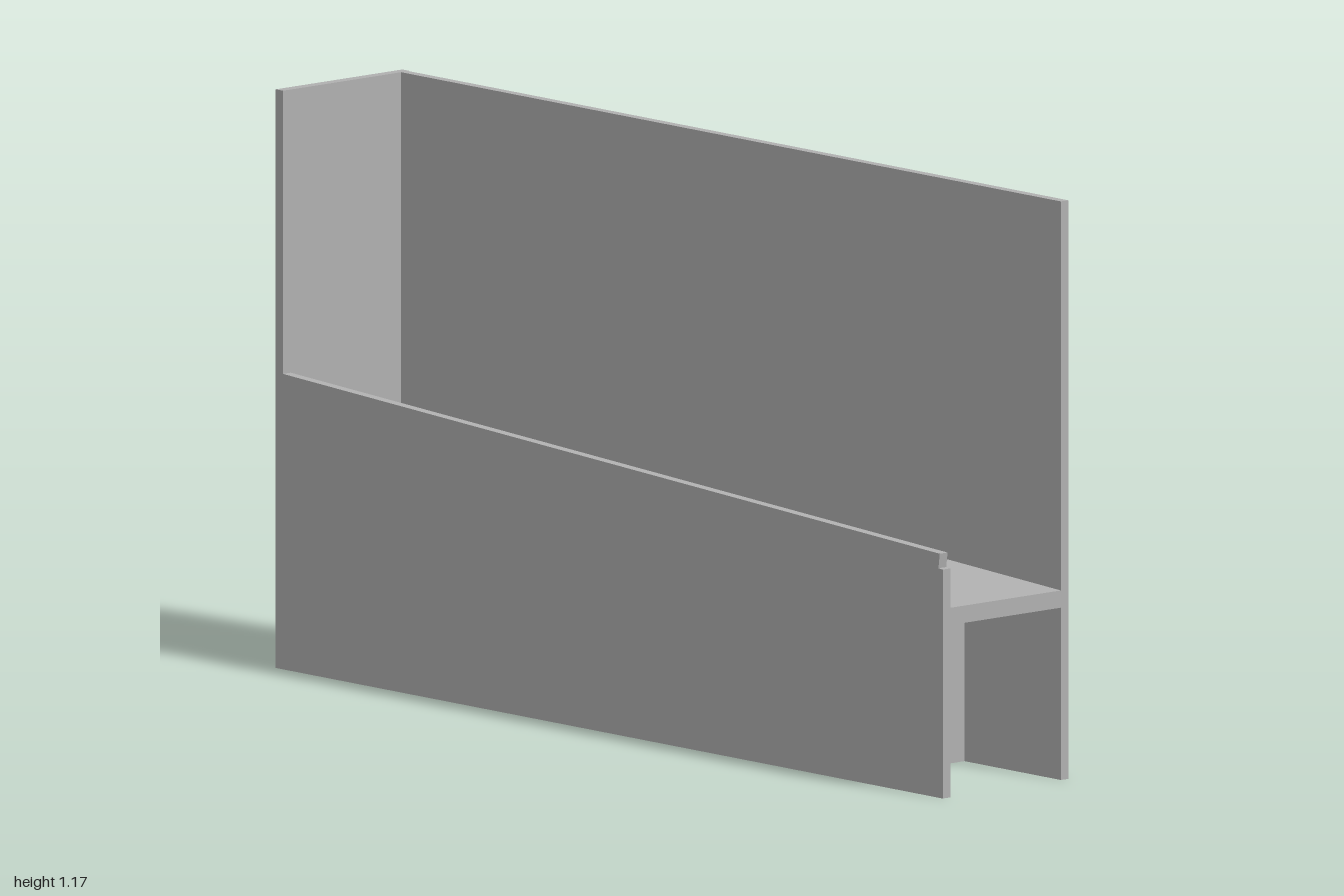
import * as THREE from 'three';

export function createModel() {
  const model = new THREE.Group();
  const gray = new THREE.MeshStandardMaterial({ color: 0xb0b0b0 });
  gray.name = 'plain gray';

  const add = (name, geometry) => {
    const mesh = new THREE.Mesh(geometry, gray);
    mesh.name = name;
    model.add(mesh);
  };
  // Box given by its lower and upper corners
  const box = (name, x0, x1, y0, y1, z0, z1) =>
    add(name, new THREE.BoxGeometry(x1 - x0, y1 - y0, z1 - z0)
      .translate((x0 + x1) / 2, (y0 + y1) / 2, (z0 + z1) / 2));
  // Plate cut from an x-y outline, between two depths
  const plate = (name, points, z0, z1) => {
    const shape = new THREE.Shape(points.map(([x, y]) => new THREE.Vector2(x, y)));
    add(name, new THREE.ExtrudeGeometry(shape, { depth: z1 - z0, bevelEnabled: false }).translate(0, 0, z0));
  };

  const H = 1.175, inner = -0.978;
  const back = -0.167, backInner = -0.147, frontInner = 0.149, front = 0.17;

  // End wall
  box('endWall', -1, inner, 0, H, -0.17, front);

  // Front panel with sloping top edge and a small step at the open end
  plate('frontPanel', [[inner, 0], [1, 0], [1, 0.465], [0.987, 0.466], [0.991, 0.496], [inner, 0.6]], frontInner, front);

  // Sloping floor of the channel
  const floorTop = (x) => 0.49 - 0.105 * (x - inner) / (1 - inner);
  const thick = 0.035;
  plate('slopingFloor', [
    [inner, floorTop(inner) - thick], [1, floorTop(1) - thick],
    [1, floorTop(1)], [inner, floorTop(inner)],
  ], backInner, frontInner);

  // Support ribs under the floor
  for (let i = 0; i < 7; i++) {
    const x = 0.7 - i * 0.269;
    box('supportRib', x - 0.011, x + 0.011, 0, floorTop(x) - thick / 2, backInner, frontInner);
  }

  // Back panel: plain below and above the band holding the two grooves
  const grooveLow = 0.042, grooveHigh = 0.496;
  box('backPanelLower', inner, 1, 0, grooveLow, back, backInner);
  box('backPanelUpper', inner, 1, grooveHigh, H, back, backInner);

  // Plan section with shallow round grooves, extruded upward (shape y is -z)
  const section = new THREE.Shape();
  section.moveTo(inner, -backInner);
  section.lineTo(1, -backInner);
  section.lineTo(1, -back);
  const half = 0.034, depth = 0.017;
  for (const cx of [0.782, -0.84]) {
    for (let i = 0; i <= 16; i++) {
      const a = Math.PI * i / 16;
      section.lineTo(cx + half * Math.cos(a), -back - depth * Math.sin(a));
    }
  }
  section.lineTo(inner, -back);
  section.closePath();
  add('backPanelGrooved', new THREE.ExtrudeGeometry(section, { depth: grooveHigh - grooveLow, bevelEnabled: false })
    .rotateX(-Math.PI / 2).translate(0, grooveLow, 0));

  return model;
}
